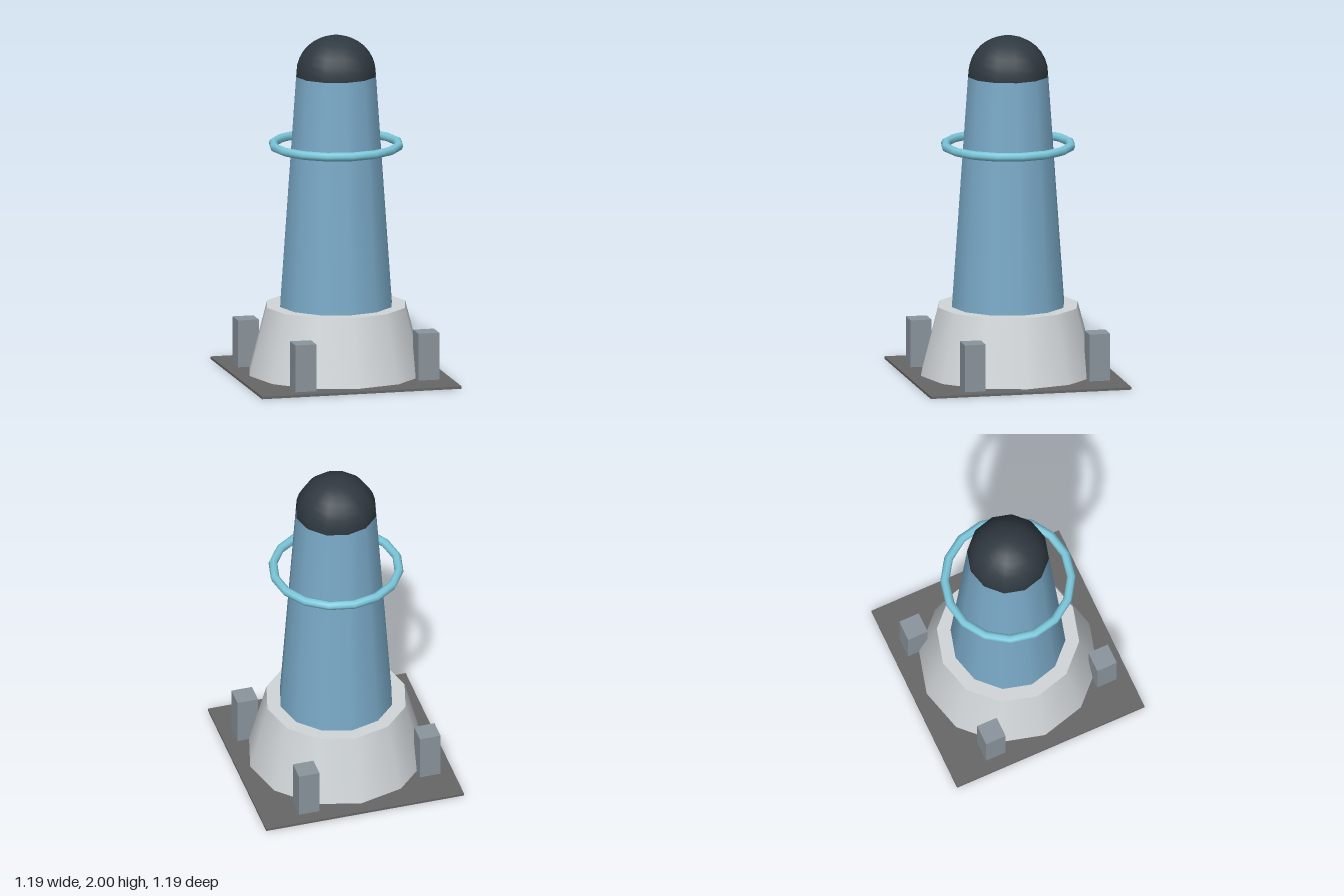
import * as THREE from 'three';

export function createModel() {
  const model = new THREE.Group();
  const material = (name, color) => {
    const m = new THREE.MeshStandardMaterial({ color });
    m.name = name;
    return m;
  };
  const plateGrey = material('dark grey', 0x666666);
  const concrete = material('light grey', 0xd0d5d8);
  const blue = material('blue', 0x7aaac8);
  const charcoal = material('charcoal', 0x2f3940);
  const cyan = material('cyan', 0x7cc8dc);
  const steel = material('steel grey', 0x8a949c);

  const add = (name, geometry, mat, x, y, z) => {
    const mesh = new THREE.Mesh(geometry, mat);
    mesh.name = name;
    mesh.position.set(x, y, z);
    model.add(mesh);
    return mesh;
  };

  const sides = 12;
  const plateTop = 0.014, baseTop = 0.412, towerTop = 1.767;

  // Ground plate and tapered footing
  add('groundPlate', new THREE.BoxGeometry(1.194, plateTop, 1.194), plateGrey, 0, plateTop / 2, 0);
  add('footing', new THREE.CylinderGeometry(0.414, 0.518, baseTop - plateTop, sides), concrete,
    0, (baseTop + plateTop) / 2, 0);

  // Tapered tower with a domed cap
  add('tower', new THREE.CylinderGeometry(0.238, 0.334, towerTop - baseTop, sides), blue,
    0, (towerTop + baseTop) / 2, 0);
  const dome = new THREE.SphereGeometry(0.238, sides, 8, 0, Math.PI * 2, 0, Math.PI / 2);
  add('dome', dome, charcoal, 0, towerTop, 0).scale.y = (2 - towerTop) / 0.238;

  // Floating ring around the tower
  add('ring', new THREE.TorusGeometry(0.367, 0.026, 8, 16), cyan, 0, 1.356, 0).rotation.x = Math.PI / 2;

  // Four posts, each a quarter turn from the last
  const post = new THREE.BoxGeometry(0.124, 0.277, 0.124);
  for (let i = 0, x = 0.458, z = 0.315; i < 4; i++, [x, z] = [-z, x]) {
    add('post' + (i + 1), post, steel, x, plateTop + 0.1385, z);
  }
  return model;
}
